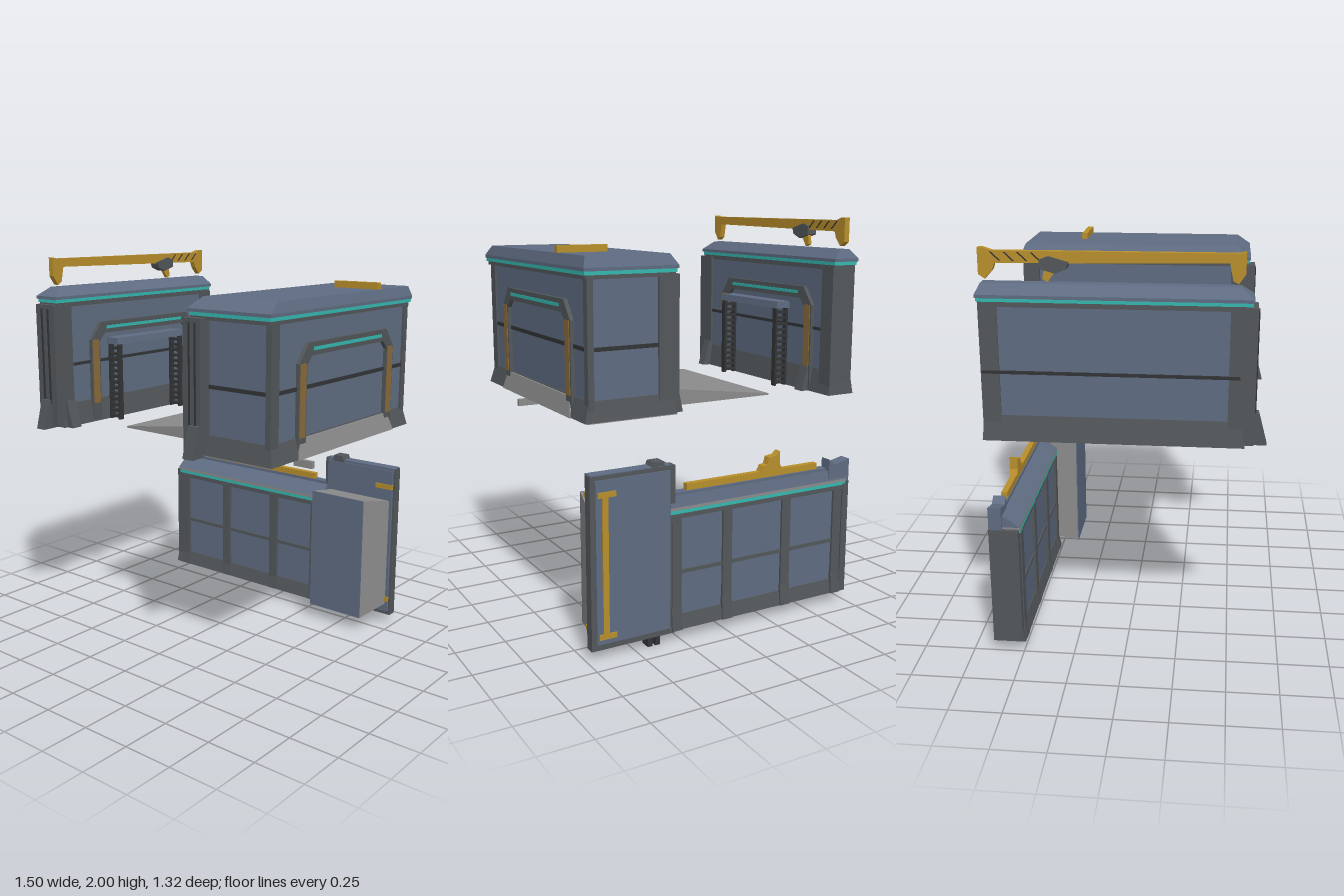
import * as THREE from 'three';

const mat = (name, color) => {
  const m = new THREE.MeshStandardMaterial({ color });
  m.name = name;
  return m;
};

export function createModel() {
  const root = new THREE.Group();
  const blue = mat('bluePanel', 0x5f6c82);
  const dark = mat('darkFrame', 0x53575a);
  const black = mat('blackMetal', 0x323436);
  const grey = mat('rampGrey', 0x8b8c8b);
  const yellow = mat('yellowPaint', 0xb98f2c);
  const brown = mat('wornYellow', 0x8a6a3a);
  const teal = mat('tealLight', 0x35b8b0);

  const group = (name) => {
    const g = new THREE.Group();
    g.name = name;
    root.add(g);
    return g;
  };
  // box from ranges; t insets the top edges as [x0, x1, z0, z1]
  const box = (g, name, m, x0, x1, y0, y1, z0, z1, t) => {
    const geo = new THREE.BoxGeometry(x1 - x0, y1 - y0, z1 - z0);
    if (t) {
      const p = geo.attributes.position;
      for (let i = 0; i < p.count; i++) {
        if (p.getY(i) < 0) continue;
        p.setX(i, p.getX(i) + (p.getX(i) < 0 ? t[0] : -t[1]));
        p.setZ(i, p.getZ(i) + (p.getZ(i) < 0 ? t[2] : -t[3]));
      }
      geo.computeVertexNormals();
    }
    const mesh = new THREE.Mesh(geo, m);
    mesh.name = name;
    mesh.position.set((x0 + x1) / 2, (y0 + y1) / 2, (z0 + z1) / 2);
    g.add(mesh);
    return mesh;
  };
  // shape drawn in (z, y), extruded along x from x0 to x1
  const sideExtrude = (g, name, m, pts, x0, x1) => {
    const s = new THREE.Shape(pts.map(([a, b]) => new THREE.Vector2(a, b)));
    const geo = new THREE.ExtrudeGeometry(s, { depth: x1 - x0, bevelEnabled: false });
    geo.rotateY(-Math.PI / 2).translate(x1, 0, 0);
    const mesh = new THREE.Mesh(geo, m);
    mesh.name = name;
    g.add(mesh);
  };
  // shape drawn in (x, y), extruded along z from z0 to z1
  const frontExtrude = (g, name, m, pts, z0, z1) => {
    const s = new THREE.Shape(pts.map(([a, b]) => new THREE.Vector2(a, b)));
    const geo = new THREE.ExtrudeGeometry(s, { depth: z1 - z0, bevelEnabled: false });
    const mesh = new THREE.Mesh(geo.translate(0, 0, z0), m);
    mesh.name = name;
    g.add(mesh);
  };
  // arched doorway with chamfered corners, yellow uprights and a light strip; dir is its outward x
  const doorway = (g, x, dir) => {
    const span = (a, b) => (dir > 0 ? [x + a, x + b] : [x - b, x - a]);
    sideExtrude(g, 'doorFrame', dark, [
      [0.34, 1.13], [0.34, 1.56], [0.27, 1.65], [-0.42, 1.65], [-0.49, 1.56], [-0.49, 1.13],
      [-0.43, 1.13], [-0.43, 1.55], [-0.39, 1.59], [0.24, 1.59], [0.28, 1.55], [0.28, 1.13],
    ], ...span(0, 0.02));
    for (const z of [0.29, -0.48])
      box(g, 'doorStripe', brown, ...span(0.018, 0.024), 1.22, 1.56, z, z + 0.045);
    box(g, 'doorLight', teal, ...span(0.018, 0.023), 1.612, 1.628, -0.37, 0.23);
  };

  // right-hand container
  const c = group('container');
  box(c, 'body', blue, 0.29, 0.715, 1.14, 1.77, -0.635, 0.53);
  box(c, 'floor', grey, 0.28, 0.73, 1.12, 1.14, -0.65, 0.55);
  box(c, 'baseBand', dark, 0.28, 0.745, 1.125, 1.22, -0.655, 0.555, [0.01, 0.025, 0.015, 0.02]);
  box(c, 'eave', dark, 0.285, 0.73, 1.75, 1.77, -0.645, 0.56);
  box(c, 'lightTrim', teal, 0.28, 0.738, 1.768, 1.785, -0.652, 0.566);
  box(c, 'roofEdge', blue, 0.275, 0.742, 1.785, 1.80, -0.657, 0.572);
  box(c, 'roof', blue, 0.275, 0.742, 1.80, 1.85, -0.657, 0.572, [0.035, 0.015, 0.02, 0.07]);
  box(c, 'middleBar', black, 0.285, 0.722, 1.437, 1.455, -0.642, 0.537);
  for (const [z0, z1] of [[0.47, 0.595], [-0.645, -0.56]])
    box(c, 'innerPillar', dark, 0.265, 0.37, 1.13, 1.76, z0, z1);
  for (const [z0, z1] of [[0.48, 0.54], [-0.647, -0.61]])
    box(c, 'outerPillar', dark, 0.695, 0.725, 1.13, 1.76, z0, z1);
  for (const x of [0.30, 0.335])
    box(c, 'pillarGroove', black, x, x + 0.008, 1.25, 1.74, 0.59, 0.6);
  box(c, 'frontFoot', dark, 0.31, 0.37, 1.12, 1.27, 0.57, 0.655, [0, 0, 0, 0.04]);
  for (const z of [0.47, 0.28, -0.48, -0.61])
    box(c, 'innerFoot', dark, 0.225, 0.30, 1.12, 1.28, z, z + 0.06, [0.035, 0, 0, 0]);
  doorway(c, 0.715, 1);
  doorway(c, 0.29, -1);
  box(c, 'outerSill', grey, 0.715, 0.75, 1.123, 1.215, -0.5, 0.35, [0, 0.02, 0.04, 0.03]);
  box(c, 'roofBar', yellow, 0.48, 0.73, 1.85, 1.883, -0.355, -0.325);
  frontExtrude(c, 'ramp', grey, [[-0.35, 1.122], [0.29, 1.122], [0.29, 1.22], [0.24, 1.208], [-0.35, 1.13]], -0.485, 0.345);
  box(c, 'looseBracket', grey, 0.62, 0.725, 1.05, 1.085, 0.19, 0.21);

  // left-hand side wall
  const w = group('sideWall');
  box(w, 'body', blue, -0.735, -0.62, 1.14, 1.77, -0.635, 0.53);
  box(w, 'baseBand', dark, -0.755, -0.60, 1.12, 1.24, -0.65, 0.55, [0.018, 0.018, 0.01, 0.02]);
  box(w, 'eave', dark, -0.743, -0.615, 1.745, 1.768, -0.645, 0.56);
  box(w, 'lightTrim', teal, -0.748, -0.612, 1.768, 1.785, -0.65, 0.566);
  box(w, 'roofEdge', blue, -0.755, -0.608, 1.785, 1.80, -0.655, 0.572);
  box(w, 'roof', blue, -0.755, -0.608, 1.80, 1.845, -0.655, 0.572, [0.045, 0.045, 0.02, 0.06]);
  box(w, 'middleBar', black, -0.742, -0.612, 1.437, 1.452, -0.642, 0.52);
  for (const [z0, z1] of [[0.47, 0.59], [-0.645, -0.56]])
    box(w, 'endPillar', dark, -0.742, -0.607, 1.13, 1.76, z0, z1);
  for (const x of [-0.70, -0.655])
    box(w, 'pillarGroove', black, x, x + 0.008, 1.25, 1.74, 0.585, 0.597);
  box(w, 'frontFoot', dark, -0.705, -0.648, 1.12, 1.27, 0.57, 0.65, [0, 0, 0, 0.04]);
  for (const z of [0.47, -0.48])
    box(w, 'innerFoot', dark, -0.625, -0.56, 1.12, 1.26, z, z + 0.06, [0, 0.04, 0, 0]);
  doorway(w, -0.62, 1);

  // slatted shelf on the inner face
  const s = group('shelf');
  box(s, 'shelfTop', blue, -0.605, -0.522, 1.53, 1.565, -0.30, 0.225, [0, 0.005, 0, 0]);
  for (const z of [-0.295, 0.19]) {
    for (const x of [-0.60, -0.535])
      box(s, 'ladderPost', black, x, x + 0.012, 1.12, 1.53, z, z + 0.03);
    for (let i = 0; i < 13; i++)
      box(s, 'rung', black, -0.60, -0.523, 1.13 + i * 0.031, 1.143 + i * 0.031, z, z + 0.03);
  }

  // overhead rail on the side wall
  const r = group('overheadRail');
  sideExtrude(r, 'railBeam', yellow, [
    [0.53, 1.995], [0.50, 1.988], [-0.58, 1.985], [-0.62, 1.998], [-0.645, 1.998], [-0.645, 1.88], [-0.615, 1.86],
    [-0.58, 1.90], [-0.57, 1.93], [0.46, 1.945], [0.475, 1.87], [0.50, 1.855], [0.53, 1.90],
  ], -0.697, -0.667);
  sideExtrude(r, 'trolley', dark, [
    [-0.24, 1.94], [-0.25, 1.91], [-0.30, 1.89], [-0.37, 1.91], [-0.37, 1.95], [-0.33, 1.965],
  ].reverse(), -0.71, -0.655);
  sideExtrude(r, 'hook', yellow, [[-0.30, 1.90], [-0.335, 1.85], [-0.36, 1.86], [-0.35, 1.92]], -0.69, -0.672);
  for (const z of [-0.37, -0.43, -0.49, -0.55])
    sideExtrude(r, 'truss', black, [[z, 1.942], [z + 0.008, 1.942], [z - 0.032, 1.98], [z - 0.04, 1.98]], -0.70, -0.664);

  // lower rear wall
  const b = group('rearWall');
  box(b, 'body', blue, -0.735, 0.31, 0.07, 0.66, -0.635, -0.515);
  box(b, 'baseBand', dark, -0.75, 0.32, 0.055, 0.13, -0.65, -0.49, [0, 0, 0.012, 0.02]);
  box(b, 'middleBar', dark, -0.735, 0.31, 0.337, 0.355, -0.643, -0.507);
  box(b, 'eave', dark, -0.74, 0.31, 0.615, 0.64, -0.645, -0.505);
  box(b, 'lightTrim', teal, -0.73, 0.31, 0.64, 0.657, -0.65, -0.5);
  box(b, 'roofEdge', grey, -0.735, 0.31, 0.657, 0.672, -0.65, -0.5);
  box(b, 'roof', blue, -0.74, 0.31, 0.672, 0.725, -0.65, -0.5, [0, 0, 0.012, 0.07]);
  for (const x of [-0.685, -0.36, -0.01, 0.275]) {
    box(b, 'pillar', dark, x - 0.026, x + 0.026, 0.06, 0.63, -0.647, -0.5);
    box(b, 'pillarFoot', dark, x - 0.028, x + 0.028, 0.055, 0.17, -0.657, -0.488, [0, 0, 0.01, 0.02]);
  }
  box(b, 'endPost', dark, -0.752, -0.715, 0.055, 0.66, -0.65, -0.505);
  frontExtrude(b, 'endCap', blue, [[-0.752, 0.66], [-0.62, 0.66], [-0.625, 0.785], [-0.66, 0.755], [-0.752, 0.775]], -0.648, -0.585);
  box(b, 'pipe', blue, -0.61, 0.29, 0.72, 0.74, -0.635, -0.59);
  box(b, 'railBar', yellow, -0.56, 0.21, 0.73, 0.772, -0.625, -0.595);
  frontExtrude(b, 'railTrolley', yellow, [[-0.34, 0.77], [-0.21, 0.77], [-0.225, 0.80], [-0.25, 0.805], [-0.26, 0.84], [-0.30, 0.845], [-0.325, 0.865], [-0.325, 0.80]], -0.63, -0.59);

  // tall end panel with its projecting box
  const p = group('endPanel');
  box(p, 'panelFrame', dark, 0.285, 0.725, 0.045, 0.88, -0.645, -0.595);
  box(p, 'panelFront', blue, 0.31, 0.715, 0.07, 0.872, -0.6, -0.578);
  box(p, 'panelBack', blue, 0.315, 0.70, 0.075, 0.86, -0.652, -0.64);
  box(p, 'panelTop', blue, 0.31, 0.72, 0.872, 0.885, -0.645, -0.585);
  box(p, 'topLatch', dark, 0.335, 0.42, 0.86, 0.905, -0.645, -0.58, [0.01, 0.02, 0, 0]);
  for (const x of [0.365, 0.405])
    box(p, 'bottomLatch', black, x, x + 0.025, 0.0, 0.07, -0.64, -0.585);
  for (const y of [0.13, 0.77])
    box(p, 'hinge', yellow, 0.62, 0.72, y, y + 0.025, -0.585, -0.57);
  box(p, 'backStripe', yellow, 0.64, 0.67, 0.11, 0.80, -0.66, -0.65);
  for (const y of [0.1, 0.78])
    box(p, 'backHinge', yellow, 0.60, 0.69, y, y + 0.025, -0.66, -0.65);

  // flared box: wider at its front face, built standing and tipped forward
  const flare = new THREE.Group();
  flare.name = 'projectingBox';
  flare.rotation.x = Math.PI / 2;
  p.add(flare);
  box(flare, 'boxSides', grey, 0.335, 0.705, -0.585, -0.393, -0.705, -0.115, [0, 0.05, -0.033, -0.037]);
  box(flare, 'boxFace', blue, 0.335, 0.655, -0.393, -0.387, -0.738, -0.078);

  return root;
}
